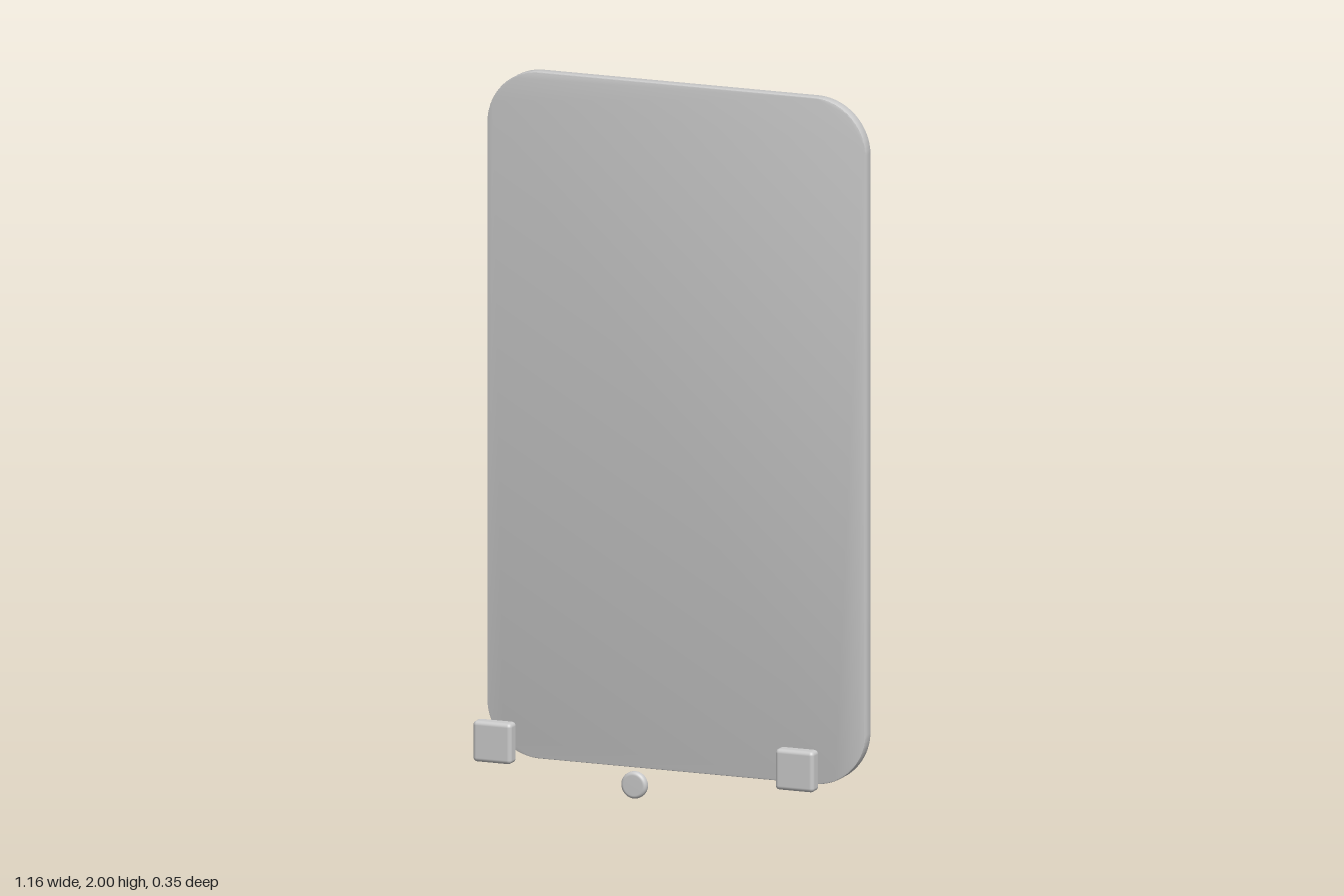
import * as THREE from 'three';
import { toCreasedNormals } from 'three/addons/utils/BufferGeometryUtils.js';
import { RoundedBoxGeometry } from 'three/addons/geometries/RoundedBoxGeometry.js';

const material = new THREE.MeshStandardMaterial({ color: 0xcccccc });

function part(name, geometry, x, y, z) {
  const mesh = new THREE.Mesh(geometry, material);
  mesh.name = name;
  mesh.position.set(x, y, z);
  return mesh;
}

// Rounded rectangle centred on the origin
function roundedRect(w, h, r) {
  const x = w / 2 - r, y = h / 2 - r, q = Math.PI / 2;
  const s = new THREE.Shape();
  s.absarc(x, y, r, 0, q);
  s.absarc(-x, y, r, q, 2 * q);
  s.absarc(-x, -y, r, 2 * q, 3 * q);
  s.absarc(x, -y, r, 3 * q, 4 * q);
  s.closePath();
  return s;
}

// Thin slab with rounded corners and a fine softened rim
function panelGeometry(w, h, depth, r) {
  const b = 0.003;
  const geo = new THREE.ExtrudeGeometry(roundedRect(w - 2 * b, h - 2 * b, r - b), {
    depth: depth - 2 * b, curveSegments: 20,
    bevelSize: b, bevelThickness: b, bevelSegments: 2,
  });
  geo.translate(0, 0, b - depth / 2);
  return toCreasedNormals(geo, 0.6);
}

// Disc facing z with a rounded rim
function discGeometry(radius, depth, r) {
  const h = depth / 2, points = [new THREE.Vector2(0, -h)];
  for (const side of [-1, 1]) {
    for (let i = 0; i <= 5; i++) {
      const a = (side < 0 ? i - 5 : i) / 5 * Math.PI / 2;
      points.push(new THREE.Vector2(radius - r + r * Math.cos(a), side * (h - r) + r * Math.sin(a)));
    }
  }
  points.push(new THREE.Vector2(0, h));
  return new THREE.LatheGeometry(points, 40).rotateX(Math.PI / 2);
}

export function createModel() {
  const model = new THREE.Group();
  model.name = 'panelWithControls';

  // Tall upright panel at the back
  model.add(part('panel', panelGeometry(1.16, 1.985, 0.038, 0.16), 0, 1.0075, -0.159));

  // Square side buttons
  for (const [name, side] of [['leftButton', 1], ['rightButton', -1]]) {
    model.add(part(name, new RoundedBoxGeometry(0.118, 0.118, 0.046, 4, 0.012), side * 0.463, 0.107, 0.082));
  }

  // Round central button
  model.add(part('centreButton', discGeometry(0.039, 0.026, 0.01), 0, 0.039, 0.162));

  return model;
}
